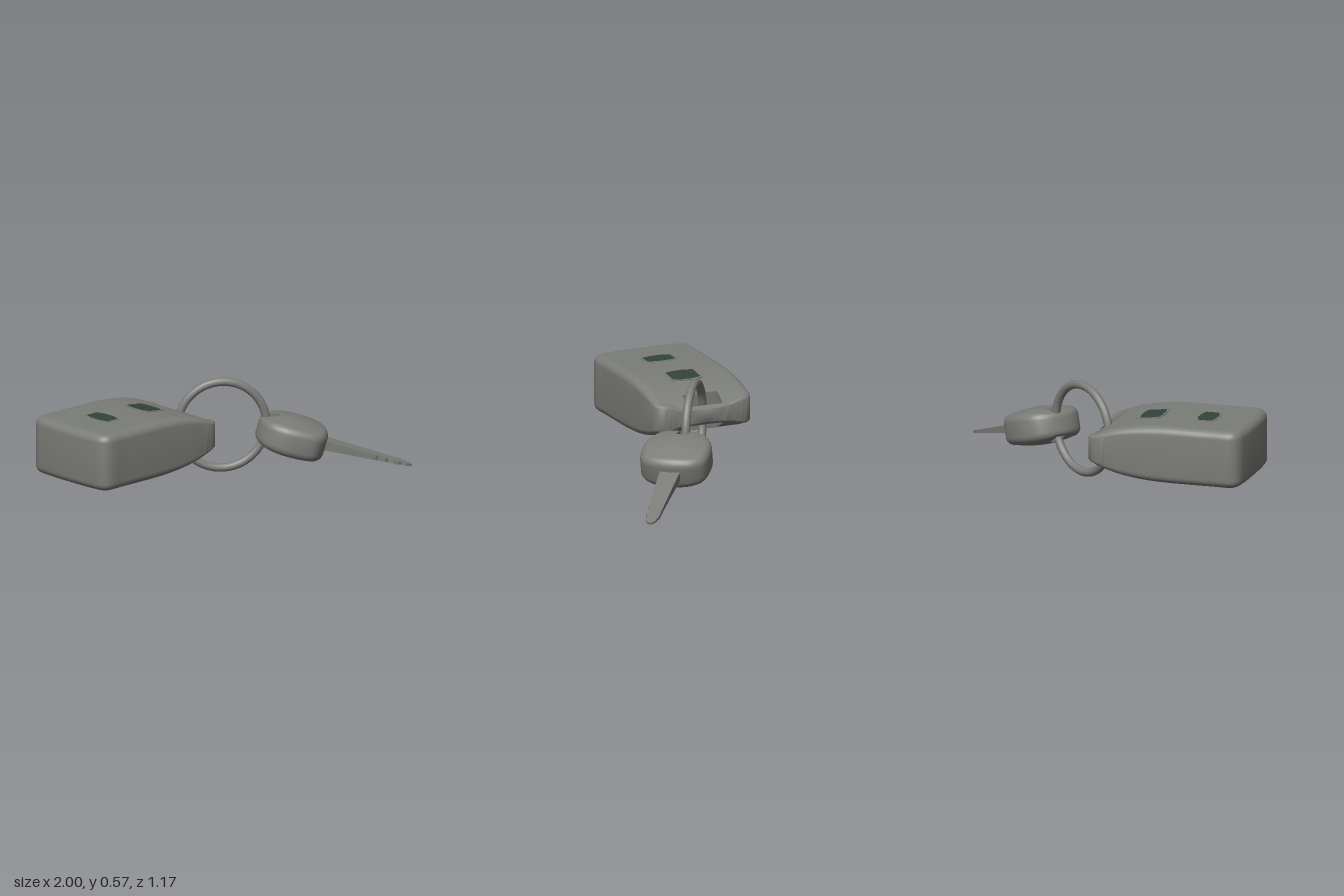
import * as THREE from 'three';
import { toCreasedNormals } from 'three/addons/utils/BufferGeometryUtils.js';

// Closed outline from one half (x, z >= 0), mirrored across z = 0
function outline(half, count) {
  const back = half.slice(1, -1).reverse().map(([x, z]) => [x, -z]);
  const pts = [...half, ...back].map(([x, z]) => new THREE.Vector3(x, 0, z));
  return new THREE.CatmullRomCurve3(pts, true).getSpacedPoints(count).slice(0, count);
}

// Pillow-shaped solid with a box-shaped hole straight through it.
// height(x, z): half thickness; round: rim inset; wall: upright share of the side
function piercedSolid(outer, hole, height, round, wall) {
  const n = outer.length, inner = 16, rim = 7;
  const cols = outer.map((p, i) => {
    const a = outer[(i + n - 1) % n], b = outer[(i + 1) % n];
    const t = b.clone().sub(a).normalize();
    const out = new THREE.Vector3(-t.z, 0, t.x);
    const dx = p.x - hole.x, dz = p.z - hole.z;
    const s = 1 / Math.max(Math.abs(dx) / hole.a, Math.abs(dz) / hole.b);
    const h = new THREE.Vector3(hole.x + dx * s, 0, hole.z + dz * s);
    const e = Math.min(round, 0.4 * h.distanceTo(p));
    const inset = p.clone().addScaledVector(out, -e);
    const top = [];
    for (let j = 0; j <= inner; j++) {
      const q = h.clone().lerp(inset, j / inner);
      q.y = height(q.x, q.z);
      top.push(q);
    }
    const edge = height(inset.x, inset.z);
    for (let j = 1; j <= rim; j++) {
      const f = (1 - j / rim) * Math.PI / 2;
      const q = p.clone().addScaledVector(out, -e * (1 - Math.cos(f)));
      q.y = edge * (wall + (1 - wall) * Math.sin(f));
      top.push(q);
    }
    const bottom = top.map(q => new THREE.Vector3(q.x, -q.y, q.z)).reverse();
    return [...top, ...bottom];
  });
  const m = cols[0].length, pos = [], idx = [];
  cols.forEach(c => c.forEach(q => pos.push(q.x, q.y, q.z)));
  for (let i = 0; i < n; i++) {
    for (let j = 0; j < m; j++) {
      const i2 = (i + 1) % n, j2 = (j + 1) % m;
      const a = i * m + j, b = i * m + j2, c = i2 * m + j, d = i2 * m + j2;
      idx.push(a, b, c, b, d, c);
    }
  }
  const g = new THREE.BufferGeometry();
  g.setAttribute('position', new THREE.Float32BufferAttribute(pos, 3));
  g.setIndex(idx);
  return toCreasedNormals(g, 0.75);
}

// Flat plate in the xz plane, centred on y = 0
function plate(points, depth) {
  const shape = new THREE.Shape(points.map(([x, z]) => new THREE.Vector2(x, -z)));
  const g = new THREE.ExtrudeGeometry(shape, { depth, bevelEnabled: false, steps: 1 });
  return g.rotateX(-Math.PI / 2).translate(0, -depth / 2, 0);
}

// Six-sided button outline, widest at the middle
function barrel(w, mid, l) {
  return [[-w, l], [w, l], [mid, l * 0.4], [mid, -l * 0.4], [w, -l], [-w, -l], [-mid, -l * 0.4], [-mid, l * 0.4]];
}

export function createModel() {
  const model = new THREE.Group();
  const grey = new THREE.MeshStandardMaterial({ color: 0x7b7d78 });
  grey.name = 'warm grey';
  const green = new THREE.MeshStandardMaterial({ color: 0x33443b });
  green.name = 'dark green';
  const add = (parent, name, geometry, material) => {
    const mesh = new THREE.Mesh(geometry, material);
    mesh.name = name;
    parent.add(mesh);
    return mesh;
  };

  // Remote fob, tapering towards the ring
  const fob = new THREE.Group();
  fob.name = 'fob';
  fob.position.set(0, 0.295, -0.275);
  model.add(fob);
  const fobHeight = x => {
    const s = Math.min(1, Math.max(0, (x + 0.6) / 0.57));
    return 0.172 * Math.sqrt(Math.max(0.01, 1 - s ** 2.3));
  };
  const fobEdge = outline([[-1, 0], [-0.995, 0.18], [-0.982, 0.27], [-0.945, 0.308], [-0.8, 0.313], [-0.5, 0.314],
    [-0.2, 0.313], [-0.1, 0.306], [-0.06, 0.28], [-0.042, 0.19], [-0.035, 0]], 180);
  add(fob, 'fobBody', piercedSolid(fobEdge, { x: -0.1025, z: 0, a: 0.0425, b: 0.1125 }, fobHeight, 0.05, 0.72), grey);

  // Two buttons with thin rims
  for (const [x, w, mid] of [[-0.708, 0.04, 0.054], [-0.37, 0.054, 0.066]]) {
    const button = new THREE.Group();
    button.name = 'button';
    button.position.set(x, fobHeight(x), 0);
    button.rotation.z = Math.atan((fobHeight(x + 0.07) - fobHeight(x - 0.07)) / 0.14);
    add(button, 'buttonRim', plate(barrel(w + 0.012, mid + 0.012, 0.1), 0.006), grey);
    add(button, 'buttonFace', plate(barrel(w, mid, 0.088), 0.0095), green);
    fob.add(button);
  }

  // Split ring
  const ring = add(model, 'ring', new THREE.TorusGeometry(0.2625, 0.025, 14, 64), grey);
  ring.position.set(0.115, 0.2875, -0.122);
  ring.rotation.y = -0.626;

  // Key, pointing outwards and down
  const key = new THREE.Group();
  key.name = 'key';
  key.position.set(0.442, 0.21, 0.14);
  key.rotation.set(0, -0.672, -0.275);
  model.add(key);

  // Rounded key head
  const headEdge = outline([[-0.218, 0], [-0.205, 0.08], [-0.165, 0.148], [-0.08, 0.195], [0.03, 0.205],
    [0.12, 0.188], [0.17, 0.135], [0.192, 0.06], [0.196, 0]], 120);
  const headHeight = (x, z) => 0.113 * Math.sqrt(1 - (z / 0.27) ** 2) *
    (x < 0 ? Math.sqrt(1 - (x / 0.25) ** 2) : 1 - 6 * x * x);
  add(key, 'keyHead', piercedSolid(headEdge, { x: -0.152, z: -0.01, a: 0.04, b: 0.032 }, headHeight, 0.05, 0.45), grey);

  // Notched blade, thinning towards the tip
  const blade = plate([[0.12, 0.06], [0.5, 0.044], [0.515, 0.036], [0.56, 0.04], [0.58, 0.03], [0.61, 0.038],
    [0.64, 0.036], [0.66, 0.024], [0.69, 0.026], [0.725, 0.008], [0.728, -0.015], [0.7, -0.036], [0.675, -0.038],
    [0.66, -0.046], [0.6, -0.047], [0.12, -0.065]], 1);
  const p = blade.attributes.position;
  for (let i = 0; i < p.count; i++) {
    p.setY(i, p.getY(i) * THREE.MathUtils.mapLinear(p.getX(i), 0.12, 0.73, 0.06, 0.012));
  }
  blade.computeVertexNormals();
  add(key, 'keyBlade', blade, grey);

  return model;
}
